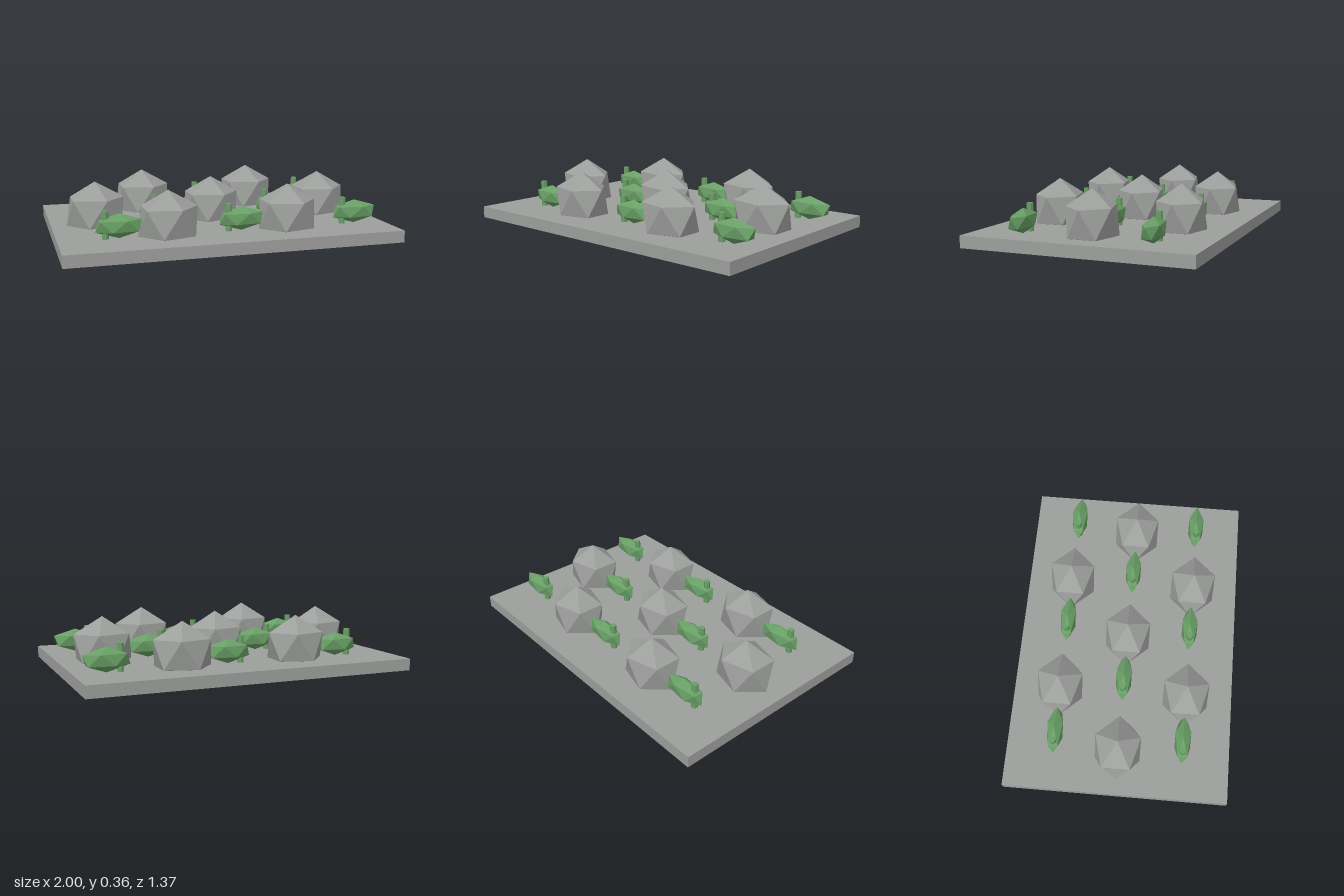
import * as THREE from 'three';

const GREY = new THREE.MeshStandardMaterial({ color: 0x9d9f9d, flatShading: true });
const GREEN = new THREE.MeshStandardMaterial({ color: 0x69a066, flatShading: true });

const SLAB_TOP = 0.1;
const SLAB_HEIGHT = 0.072;
const STEP_X = 0.365;
const STEP_Z = 0.391;

// Icosahedron standing on a vertex, with an upper-ring vertex towards +x
function uprightIcosahedron(rx, ry, rz) {
  const geometry = new THREE.IcosahedronGeometry(1, 0);
  geometry.rotateZ(-Math.atan(2 / (1 + Math.sqrt(5))));
  geometry.scale(rx, ry, rz);
  geometry.computeVertexNormals();
  return geometry;
}

function addMesh(parent, name, geometry, material, x, y, z) {
  const mesh = new THREE.Mesh(geometry, material);
  mesh.name = name;
  mesh.position.set(x, y, z);
  parent.add(mesh);
}

export function createModel() {
  const model = new THREE.Group();
  model.name = 'plantedBed';

  // Ground slab
  const slabGeometry = new THREE.BoxGeometry(2, SLAB_HEIGHT, 1.366);
  addMesh(model, 'slab', slabGeometry, GREY, 0, SLAB_TOP - SLAB_HEIGHT / 2, 0);

  const boulderGeometry = uprightIcosahedron(0.197, 0.1825, 0.162);
  const leafGeometry = uprightIcosahedron(0.153, 0.072, 0.0555);
  const stemGeometry = new THREE.CylinderGeometry(0.02, 0.02, 0.172, 8);

  // Boulders and plants alternate like a checkerboard
  for (let row = -1; row <= 1; row++) {
    for (let column = -2; column <= 2; column++) {
      const x = column * STEP_X;
      const z = row * STEP_Z;
      if ((row + column) % 2 === 0) {
        // Boulder, its lower tip poking out below the slab
        addMesh(model, 'boulder', boulderGeometry, GREY, x, 0.1825, z);
      } else {
        // Upright stem with a long leaf clump set to one side
        const plant = new THREE.Group();
        plant.name = 'plant';
        plant.position.set(x, 0, z);
        addMesh(plant, 'stem', stemGeometry, GREEN, 0, 0.176, 0);
        addMesh(plant, 'leaf', leafGeometry, GREEN, 0.08, 0.172, 0);
        model.add(plant);
      }
    }
  }

  return model;
}
